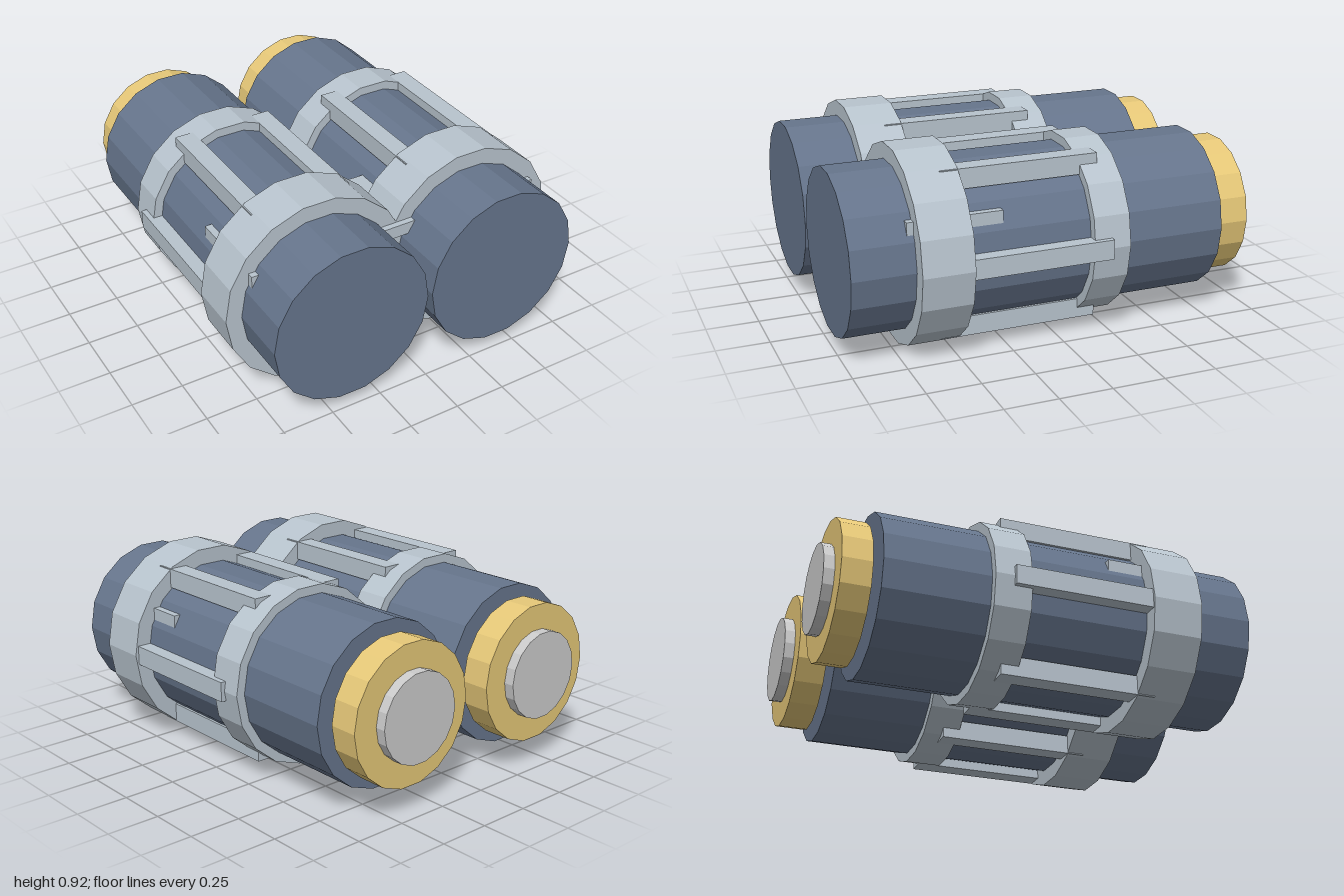
import * as THREE from 'three';

const SIDES = 18, CX = 0.4, CY = 0.461;
const mat = (color) => new THREE.MeshStandardMaterial({ color, flatShading: true });

export function createModel() {
  const model = new THREE.Group();
  const blue = mat(0x66758c), steel = mat(0xb8c4ce), gold = mat(0xe6c878), grey = mat(0xcccccc);

  // faceted drum along z, between z0 and z1, with a corner pointing sideways
  const drum = (parent, name, r, z0, z1, material) => {
    const g = new THREE.CylinderGeometry(r, r, z1 - z0, SIDES);
    g.rotateY(Math.PI / 2).rotateX(Math.PI / 2);
    const m = new THREE.Mesh(g, material);
    m.name = name;
    m.position.z = (z0 + z1) / 2;
    parent.add(m);
  };

  const box = (parent, name, w, h, z0, z1, x, y) => {
    const m = new THREE.Mesh(new THREE.BoxGeometry(w, h, z1 - z0), steel);
    m.name = name;
    m.position.set(x, y, (z0 + z1) / 2);
    parent.add(m);
  };

  for (const side of [1, -1]) {
    const barrel = new THREE.Group();
    barrel.name = side > 0 ? 'leftBarrel' : 'rightBarrel';
    barrel.position.set(side * CX, CY, 0);
    drum(barrel, 'body', 0.389, -0.78, 1, blue);
    drum(barrel, 'frontRing', 0.466, 0.47, 0.71, steel);
    drum(barrel, 'rearRing', 0.432, -0.285, -0.11, steel);
    drum(barrel, 'rearCollar', 0.334, -0.95, -0.81, gold);
    drum(barrel, 'rearCap', 0.211, -1, -0.95, grey);
    // six upright square rails joining the rings
    for (let i = 0; i < 6; i++) {
      const a = i * Math.PI / 3;
      box(barrel, 'rail', 0.093, 0.093, -0.195, 0.555, 0.403 * Math.cos(a), 0.403 * Math.sin(a));
    }
    model.add(barrel);
  }

  // cross bar passing through both barrels
  box(model, 'crossBar', 1.5, 0.06, 0.3, 0.74, 0, 0.65);
  return model;
}
